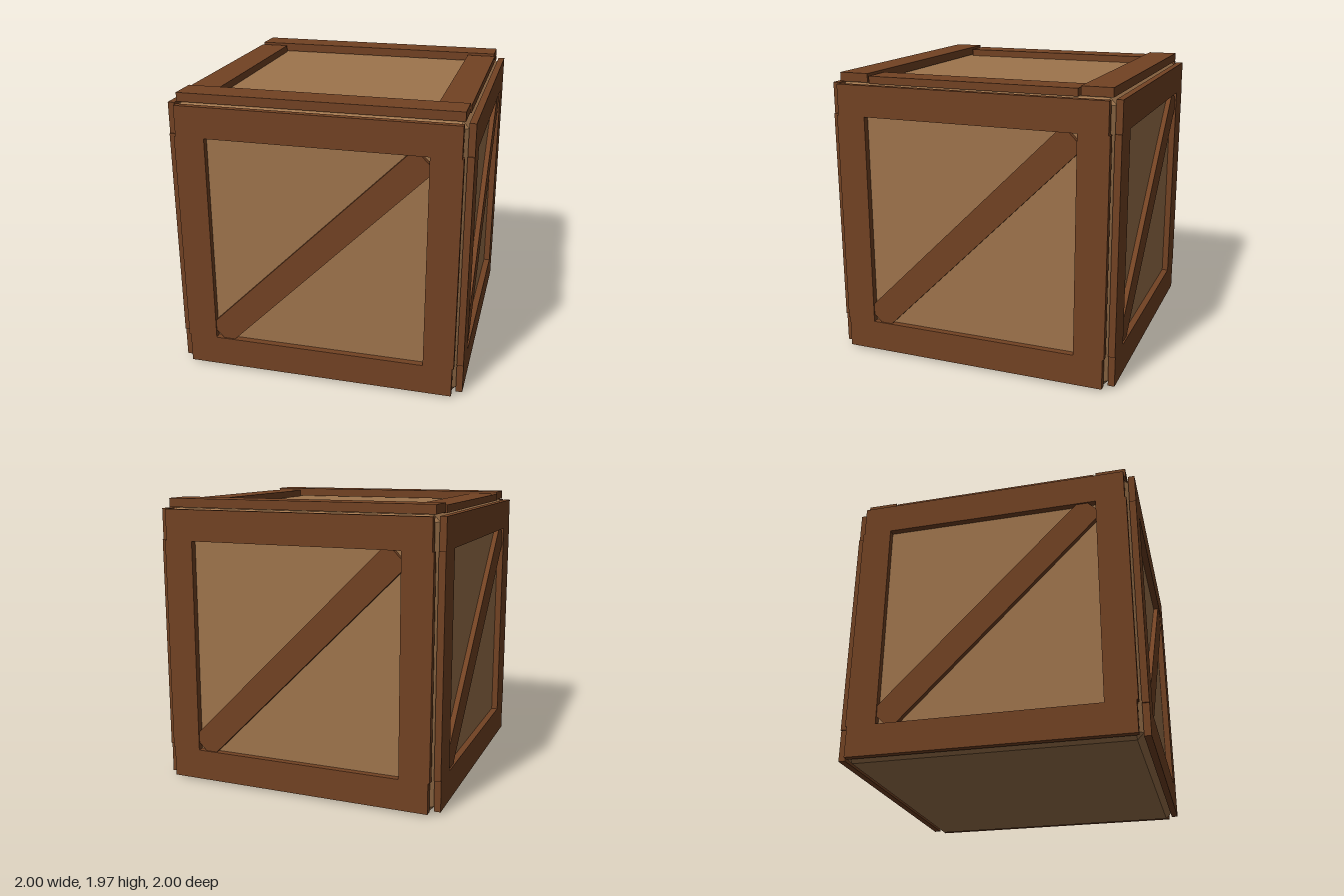
import * as THREE from 'three';
import { ConvexGeometry } from 'three/addons/geometries/ConvexGeometry.js';

const darkWood = new THREE.MeshStandardMaterial({ name: 'darkWood', color: 0x724223 });
const lightWood = new THREE.MeshStandardMaterial({ name: 'lightWood', color: 0x9e744c });

const BODY = 0.955;   // half width of the inner box
const TOP = 1.905;    // height of the inner box
const MID = 0.9575;   // height of the side frame centre

// Adds a dark plank given its size and centre
function plank(parent, name, size, pos) {
  const mesh = new THREE.Mesh(new THREE.BoxGeometry(...size), darkWood);
  mesh.name = name;
  mesh.position.set(...pos);
  parent.add(mesh);
  return mesh;
}

// Inner box with every edge bevelled
function createBody() {
  const half = [BODY, TOP / 2, BODY];
  const points = [];
  for (const sx of [-1, 1]) for (const sy of [-1, 1]) for (const sz of [-1, 1])
    for (let full = 0; full < 3; full++) {
      const p = half.map((h, i) => h - (i === full ? 0 : 0.042));
      points.push(new THREE.Vector3(p[0] * sx, p[1] * sy, p[2] * sz));
    }
  const mesh = new THREE.Mesh(new ConvexGeometry(points), lightWood);
  mesh.name = 'innerBox';
  mesh.position.y = TOP / 2;
  return mesh;
}

// One side: two rails, two stiles and a recessed diagonal brace
function createSideFrame(name) {
  const side = new THREE.Group();
  side.name = name;
  const depth = 1 - BODY, z = BODY + depth / 2;
  plank(side, 'bottomRail', [1.864, 0.21, depth], [0, 0.12, z]);
  plank(side, 'topRail', [1.864, 0.21, depth], [0, 1.795, z]);
  for (const s of [-1, 1])
    plank(side, 'stile', [0.207, 1.465, depth], [s * 0.8385, MID, z]);
  const brace = plank(side, 'brace', [2.0, 0.188, 0.035], [0, MID, BODY + 0.0175]);
  brace.rotation.z = Math.PI / 4;
  return side;
}

export function createModel() {
  const crate = new THREE.Group();
  crate.name = 'crate';
  crate.add(createBody());

  // The same frame on all four sides
  ['frontFrame', 'leftFrame', 'backFrame', 'rightFrame'].forEach((name, i) => {
    const frame = createSideFrame(name);
    frame.rotation.y = i * Math.PI / 2;
    crate.add(frame);
  });

  // Lid planks: thicker at front and back, thinner between them
  const lid = new THREE.Group();
  lid.name = 'lidFrame';
  for (const s of [-1, 1]) {
    plank(lid, 'lidEndPlank', [1.87, 0.06, 0.205], [0, 1.94, s * 0.8375]);
    plank(lid, 'lidSidePlank', [0.207, 0.05, 1.44], [s * 0.8385, 1.93, 0]);
  }
  crate.add(lid);
  return crate;
}
